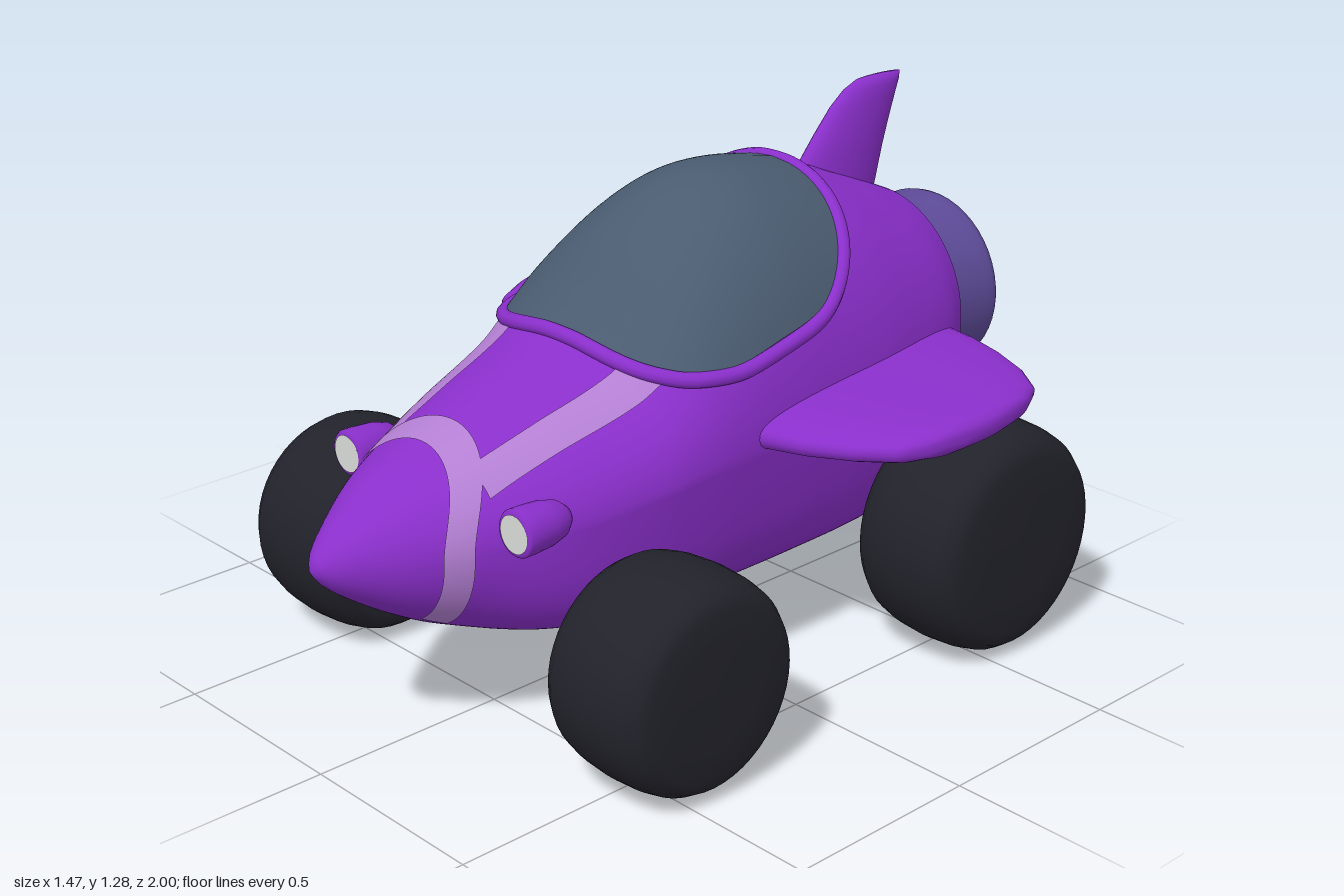
import * as THREE from 'three';
import { mergeVertices } from 'three/addons/utils/BufferGeometryUtils.js';

const mat = (name, color) => {
  const m = new THREE.MeshStandardMaterial({ color });
  m.name = name;
  return m;
};

// Smooth surface from fn(u, v); its front side is du x dv
function grid(nu, nv, fn) {
  const pos = [], idx = [];
  for (let i = 0; i <= nu; i++)
    for (let j = 0; j <= nv; j++) pos.push(...fn(i / nu, j / nv));
  for (let i = 0; i < nu; i++)
    for (let j = 0; j < nv; j++) {
      const a = i * (nv + 1) + j, b = a + nv + 1;
      idx.push(a, b, b + 1, a, b + 1, a + 1);
    }
  const g = new THREE.BufferGeometry();
  g.setAttribute('position', new THREE.Float32BufferAttribute(pos, 3));
  g.setIndex(idx);
  const merged = mergeVertices(g, 1e-5);
  merged.computeVertexNormals();
  return merged;
}

// Smooth interpolation of table rows by their first column (ascending)
function sample(rows, x) {
  let i = 0;
  while (i < rows.length - 2 && x > rows[i + 1][0]) i++;
  const slope = (k, c) => {
    const a = rows[Math.max(k - 1, 0)], b = rows[Math.min(k + 1, rows.length - 1)];
    return (b[c] - a[c]) / (b[0] - a[0]);
  };
  const h = rows[i + 1][0] - rows[i][0], t = (x - rows[i][0]) / h, t2 = t * t, t3 = t2 * t;
  return rows[i].map((p, c) => (2 * t3 - 3 * t2 + 1) * p + (t3 - 2 * t2 + t) * h * slope(i, c)
    + (3 * t2 - 2 * t3) * rows[i + 1][c] + (t3 - t2) * h * slope(i + 1, c));
}

const spow = (v, e) => Math.sign(v) * Math.pow(Math.abs(v), e);

// Hull sections: z, top, widest height, bottom, half width, squareness of the lower half
const HULL = [
  [-0.8, 0.98, 0.69, 0.36, 0.28, 2.5], [-0.72, 1.015, 0.68, 0.26, 0.325, 4],
  [-0.6, 1.065, 0.66, 0.23, 0.36, 5], [-0.42, 1.13, 0.64, 0.225, 0.39, 5],
  [-0.2, 1.16, 0.62, 0.225, 0.4, 5], [-0.05, 1.125, 0.61, 0.225, 0.4, 5],
  [0.1, 1.03, 0.6, 0.225, 0.395, 5], [0.2, 0.93, 0.59, 0.225, 0.385, 5],
  [0.29, 0.85, 0.575, 0.225, 0.37, 5], [0.5, 0.77, 0.54, 0.235, 0.31, 3.5],
  [0.7, 0.7, 0.515, 0.285, 0.225, 2.1], [0.8, 0.66, 0.505, 0.335, 0.17, 2],
  [0.9, 0.6, 0.5, 0.4, 0.1, 2], [0.97, 0.543, 0.5, 0.457, 0.043, 2], [1, 0.5, 0.5, 0.5, 0, 2],
];

// Point on the hull; theta runs from the top toward +x
function hull(z, theta, offset = 0) {
  const [, top, mid, bottom, w, n] = sample(HULL, z);
  const s = Math.sin(theta), c = Math.cos(theta);
  let x = w * s, y = mid + (top - mid) * c;
  if (c < 0) {
    const depth = Math.pow(-c, 2 / n);
    x = w * spow(s, 2 / n) * (1 - 0.05 * (n - 2) * depth);
    y = mid - (mid - bottom) * depth;
  }
  return [x + s * offset, y + c * offset, z];
}
const hullAbove = (x, z, offset) =>
  hull(z, Math.asin(THREE.MathUtils.clamp(x / sample(HULL, z)[4], -1, 1)), offset);

// Rounded canopy outline, r = 1 at the edge
const canopyPoint = (r, phi, offset) => hullAbove(
  0.355 * r * spow(Math.sin(phi), 0.67), -0.07 + 0.34 * r * spow(Math.cos(phi), 0.67), offset);

export function createModel() {
  const model = new THREE.Group();
  model.name = 'rocketCar';
  const purple = mat('bodyPurple', 0x8a2fcb), violet = mat('nozzleViolet', 0x5d4b98);
  const slate = mat('slateGlass', 0x4a5b70), black = mat('tyreBlack', 0x22222b);
  const lilac = mat('stripeLilac', 0xb37fd3), white = mat('lampWhite', 0xdadcda);
  const add = (name, geo, material, x = 0, y = 0, z = 0) => {
    const m = new THREE.Mesh(geo, material);
    m.name = name;
    m.position.set(x, y, z);
    model.add(m);
    return m;
  };
  const lathe = (pts, seg = 48) =>
    new THREE.LatheGeometry(pts.map(p => new THREE.Vector2(...p)), seg);
  const TAU = Math.PI * 2;

  // Hull and its rear wall
  add('hull', grid(110, 96, (u, v) => hull(-0.8 + 1.8 * u, v * TAU)), purple);
  add('rearWall', grid(1, 64, (u, v) => {
    const p = hull(-0.8, v * TAU);
    return [p[0] * u, 0.69 + (p[1] - 0.69) * u, -0.8];
  }), purple);

  // Canopy glass with a raised rim
  add('canopy', grid(28, 96, (u, v) => canopyPoint(u, v * TAU, 0.007)), slate);
  const rim = [];
  for (let i = 0; i < 64; i++)
    rim.push(new THREE.Vector3(...canopyPoint(1.02, (i + 0.5) / 64 * TAU, 0.002)));
  add('canopyRim', new THREE.TubeGeometry(new THREE.CatmullRomCurve3(rim, true), 160, 0.019, 10, true), purple);

  // Painted nose band and two hood stripes
  add('noseBand', grid(6, 80, (u, v) => {
    const th = (v * 2 - 1) * 2.6;
    const side = Math.abs(th) > Math.PI / 2 ? 1 : Math.sin(th) ** 2;
    return hull(0.64 + 0.11 * side + (u - 0.5) * (0.085 - 0.025 * side), th, 0.005);
  }), lilac);
  for (const s of [1, -1])
    add('hoodStripe', grid(32, 6, (u, v) => hullAbove(
      s * (0.235 - 0.07 * u) + (v - 0.5) * (0.09 - 0.02 * u), 0.22 + 0.44 * u, 0.004)), lilac);

  // Wings: x, front z, back z, half thickness
  const WING = [[0.28, 0.05, -0.73, 0.062], [0.4, 0.03, -0.715, 0.058], [0.5, 0, -0.69, 0.052],
    [0.6, -0.05, -0.65, 0.046], [0.68, -0.11, -0.595, 0.04], [0.715, -0.18, -0.53, 0.035],
    [0.733, -0.28, -0.44, 0.024], [0.736, -0.36, -0.36, 0]];
  for (const s of [1, -1])
    add(s > 0 ? 'leftWing' : 'rightWing', grid(WING.length - 1, 40, (u, v) => {
      const [x, f, b, t] = WING[Math.round(u * (WING.length - 1))];
      const a = s * v * TAU, z = (f + b) / 2 + (f - b) / 2 * spow(Math.cos(a), 0.8);
      return [s * x, 0.667 - (z + 0.35) * 0.05 + t * spow(Math.sin(a), 0.75), z];
    }), purple);

  // Tail fin: y, front z, back z, half thickness
  const FIN = [[0.95, -0.4, -0.75, 0.05], [1.1, -0.5, -0.79, 0.042], [1.16, -0.55, -0.81, 0.037],
    [1.22, -0.605, -0.832, 0.031], [1.255, -0.65, -0.846, 0.026], [1.273, -0.69, -0.85, 0.017],
    [1.277, -0.77, -0.77, 0]];
  add('tailFin', grid(FIN.length - 1, 32, (u, v) => {
    const [y, f, b, t] = FIN[Math.round(u * (FIN.length - 1))];
    return [-t * Math.sin(v * TAU), y, (f + b) / 2 + (f - b) / 2 * Math.cos(v * TAU)];
  }), purple);

  // Hollow rocket nozzle
  add('nozzle', lathe([[0.228, 0], [0.23, 0.08], [0.233, 0.17], [0.236, 0.195], [0.231, 0.213],
    [0.215, 0.22], [0.198, 0.217], [0.188, 0.205]]).rotateX(-Math.PI / 2), violet, 0, 0.695, -0.78);
  add('nozzleLining', lathe([[0.188, 0.205], [0.175, 0.06]]).rotateX(-Math.PI / 2), slate, 0, 0.695, -0.78);
  add('nozzleFloor', new THREE.CircleGeometry(0.177, 48).rotateY(Math.PI), violet, 0, 0.695, -0.842);

  for (const s of [1, -1]) {
    // Headlamps
    add('lampPod', lathe([[0, -0.15], [0.025, -0.143], [0.043, -0.12], [0.053, -0.08], [0.056, -0.03],
      [0.056, -0.006], [0.052, 0], [0.042, 0.001]], 28).rotateX(Math.PI / 2), purple, s * 0.297, 0.585, 0.672);
    add('lampLens', new THREE.CircleGeometry(0.045, 28), white, s * 0.297, 0.585, 0.675);

    // Wheels with inner hubs and axles
    for (const [name, R, z, y] of [['front', 0.26, 0.445, 0.265], ['rear', 0.288, -0.57, 0.288]]) {
      const tyre = [[0.5, 0.03], [0.62, 0.008], [0.76, 0], [0.87, 0.012], [0.94, 0.04], [0.98, 0.085],
        [1, 0.155], [0.985, 0.225], [0.95, 0.268], [0.88, 0.297], [0.77, 0.31], [0.5, 0.315], [0, 0.317]];
      const turn = -s * Math.PI / 2;
      add(name + 'Tyre', lathe(tyre.map(([r, h]) => [r * R, h])).rotateZ(turn), black, s * 0.385, y, z);
      add(name + 'Hub', new THREE.CylinderGeometry(R * 0.57, R * 0.57, 0.03, 40).rotateZ(turn), slate, s * 0.415, y, z);
      add(name + 'Axle', new THREE.CylinderGeometry(0.045, 0.045, 0.18, 24).rotateZ(turn), slate, s * 0.33, 0.28, z);
    }
  }
  return model;
}
